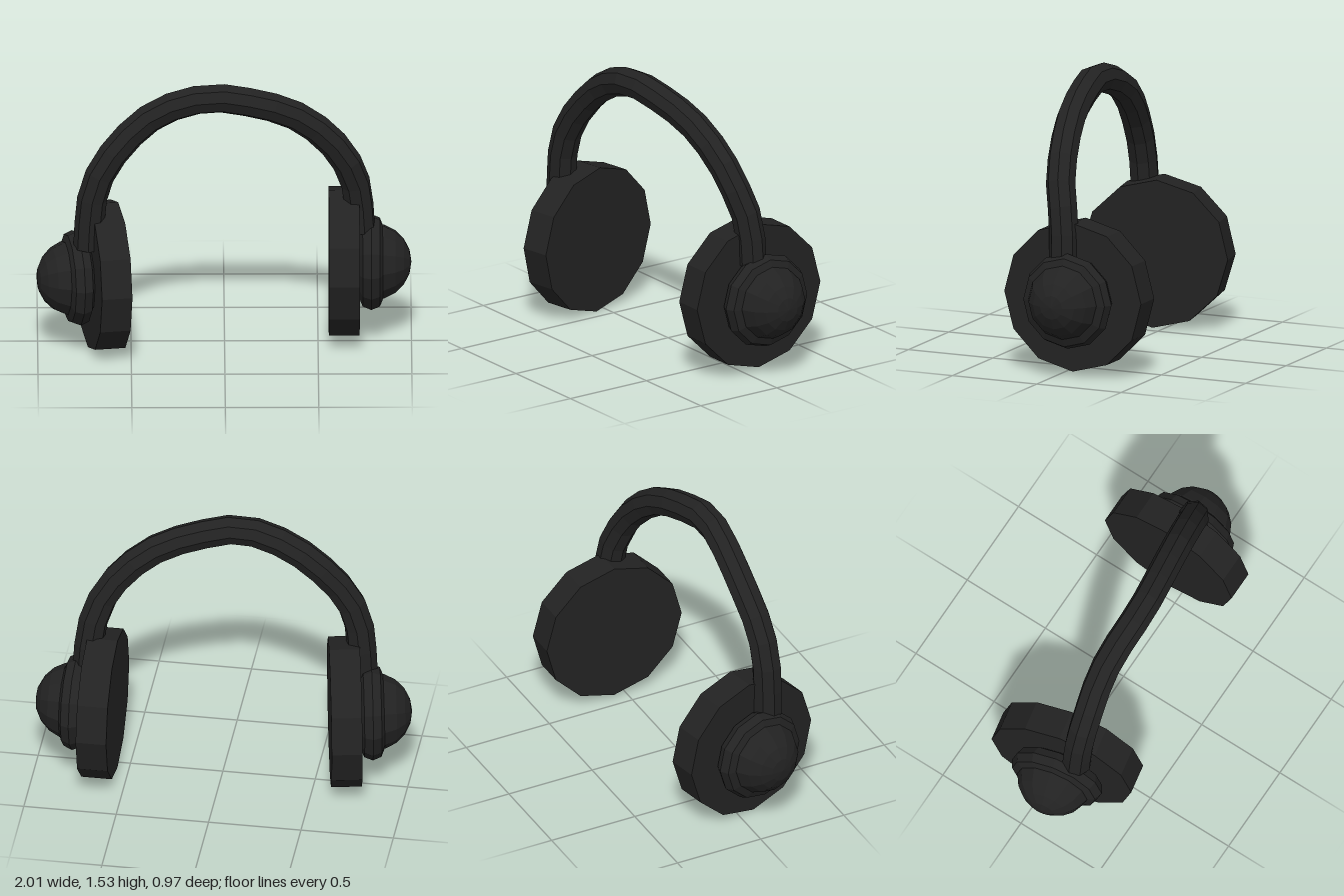
import * as THREE from 'three';

const material = new THREE.MeshStandardMaterial({ color: 0x222222, flatShading: true });

function part(name, geometry, parent) {
  const mesh = new THREE.Mesh(geometry, material);
  mesh.name = name;
  parent.add(mesh);
  return mesh;
}

// One ear cup, its outer side facing local +x
function earCup(name) {
  const cup = new THREE.Group();
  cup.name = name;
  part('cushion', new THREE.CylinderGeometry(0.405, 0.405, 0.165, 12).rotateZ(-Math.PI / 2), cup);
  part('ring', new THREE.TorusGeometry(0.195, 0.065, 8, 12).rotateY(Math.PI / 2), cup)
    .position.set(0.145, -0.008, 0);
  part('dome', new THREE.SphereGeometry(0.21, 12, 5, 0, Math.PI * 2, 0, Math.PI / 2).rotateZ(-Math.PI / 2), cup)
    .position.set(0.15, -0.005, 0);
  return cup;
}

export function createModel() {
  const model = new THREE.Group();
  model.name = 'headphones';

  const left = earCup('leftEarCup');
  left.position.set(0.64, 0.43, -0.08);
  model.add(left);

  // The right cup is swivelled on the band
  const right = earCup('rightEarCup');
  right.position.set(-0.65, 0.408, 0.067);
  right.rotation.set(-0.03, Math.PI + 0.185, 0);
  model.add(right);

  // Twisted headband, from the right cup over to the left cup
  const path = [
    [-0.73, 0.61, 0.18], [-0.715, 0.85, 0.185], [-0.69, 0.97, 0.185], [-0.625, 1.1, 0.18],
    [-0.53, 1.22, 0.165], [-0.425, 1.32, 0.155], [-0.29, 1.4, 0.157], [-0.075, 1.455, 0.163],
    [0.09, 1.43, 0.143], [0.265, 1.38, 0.115], [0.425, 1.3, 0.085], [0.535, 1.2, 0.06],
    [0.625, 1.09, 0.035], [0.68, 0.97, 0.01], [0.71, 0.86, -0.02], [0.728, 0.63, -0.03],
  ].map((p) => new THREE.Vector3(...p));
  const band = new THREE.Group();
  band.name = 'headband';
  model.add(band);
  part('bandTube', new THREE.TubeGeometry(new THREE.CatmullRomCurve3(path), 18, 0.08, 8), band);

  // Caps closing the band ends
  for (const end of [path[0], path[path.length - 1]]) {
    part('bandCap', new THREE.CircleGeometry(0.078, 8).rotateX(Math.PI / 2), band).position.copy(end);
  }
  return model;
}
